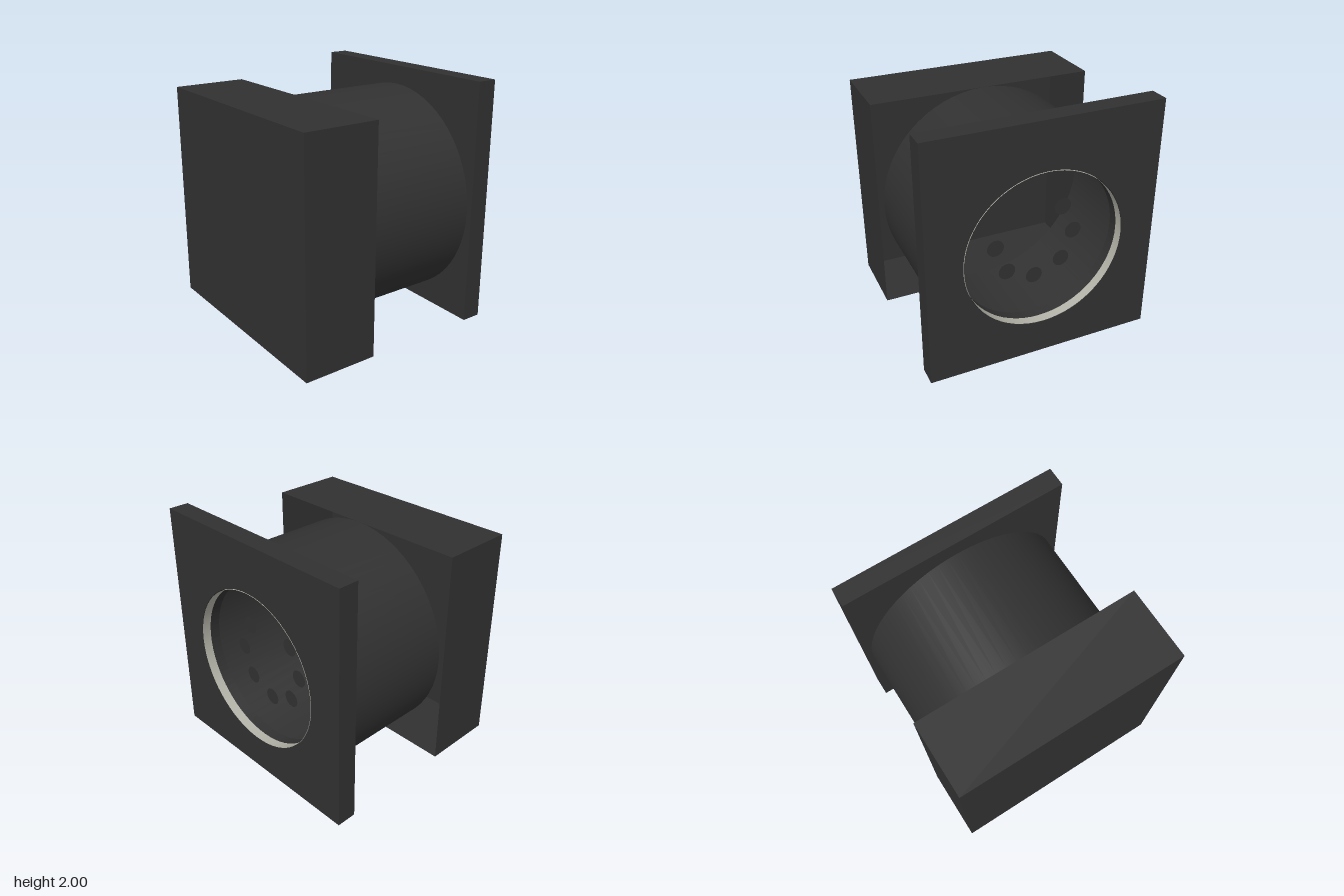
import * as THREE from 'three';

const AXIS_Y = 0.945; // height of the barrel axis

export function createModel() {
  const group = new THREE.Group();
  const dark = new THREE.MeshStandardMaterial({ color: 0x313131, side: THREE.DoubleSide });
  dark.name = 'charcoal plastic';
  const light = new THREE.MeshStandardMaterial({ color: 0xb4b3a8, side: THREE.DoubleSide });
  light.name = 'pale metal';

  const add = (name, geometry, material, y, z) => {
    const mesh = new THREE.Mesh(geometry, material);
    mesh.name = name;
    mesh.position.set(0, y, z);
    group.add(mesh);
    return mesh;
  };

  // Front housing: a thin-walled box, open at the back
  const housing = new THREE.BoxGeometry(1.89, 1.845, 0.615);
  housing.setIndex(Array.from(housing.index.array).slice(0, 30));
  housing.clearGroups();
  add('housing', housing, dark, 0.9225, 0.5675);

  // Barrel: an open tube between housing and plate
  const barrel = new THREE.CylinderGeometry(0.9, 0.9, 0.97, 64, 1, true).rotateX(Math.PI / 2);
  add('barrel', barrel, dark, AXIS_Y, -0.225);

  // Back plate with a round opening
  const outline = new THREE.Shape();
  outline.moveTo(-0.945, -AXIS_Y);
  outline.lineTo(0.945, -AXIS_Y);
  outline.lineTo(0.945, 2 - AXIS_Y);
  outline.lineTo(-0.945, 2 - AXIS_Y);
  outline.closePath();
  outline.holes.push(new THREE.Path().absarc(0, 0, 0.66, 0, Math.PI * 2, true));
  const plate = new THREE.ExtrudeGeometry(outline, { depth: 0.165, bevelEnabled: false, curveSegments: 48 });
  add('backPlate', plate, dark, AXIS_Y, -0.875);

  // Pale liner just inside the opening
  const liner = new THREE.CylinderGeometry(0.655, 0.655, 0.075, 64, 1, true).rotateX(Math.PI / 2);
  add('openingLiner', liner, light, AXIS_Y, -0.8375);

  // Seven contacts on a circle, with the top place left empty
  const contacts = new THREE.Group();
  contacts.name = 'contacts';
  contacts.position.set(0, AXIS_Y, -0.7);
  const disc = new THREE.CircleGeometry(0.07, 24).rotateY(Math.PI);
  for (let i = 1; i < 8; i++) {
    const a = Math.PI / 2 + (i * Math.PI) / 4;
    const contact = new THREE.Mesh(disc, dark);
    contact.name = 'contact';
    contact.position.set(0.33 * Math.cos(a), 0.33 * Math.sin(a), 0);
    contacts.add(contact);
  }
  group.add(contacts);

  return group;
}
